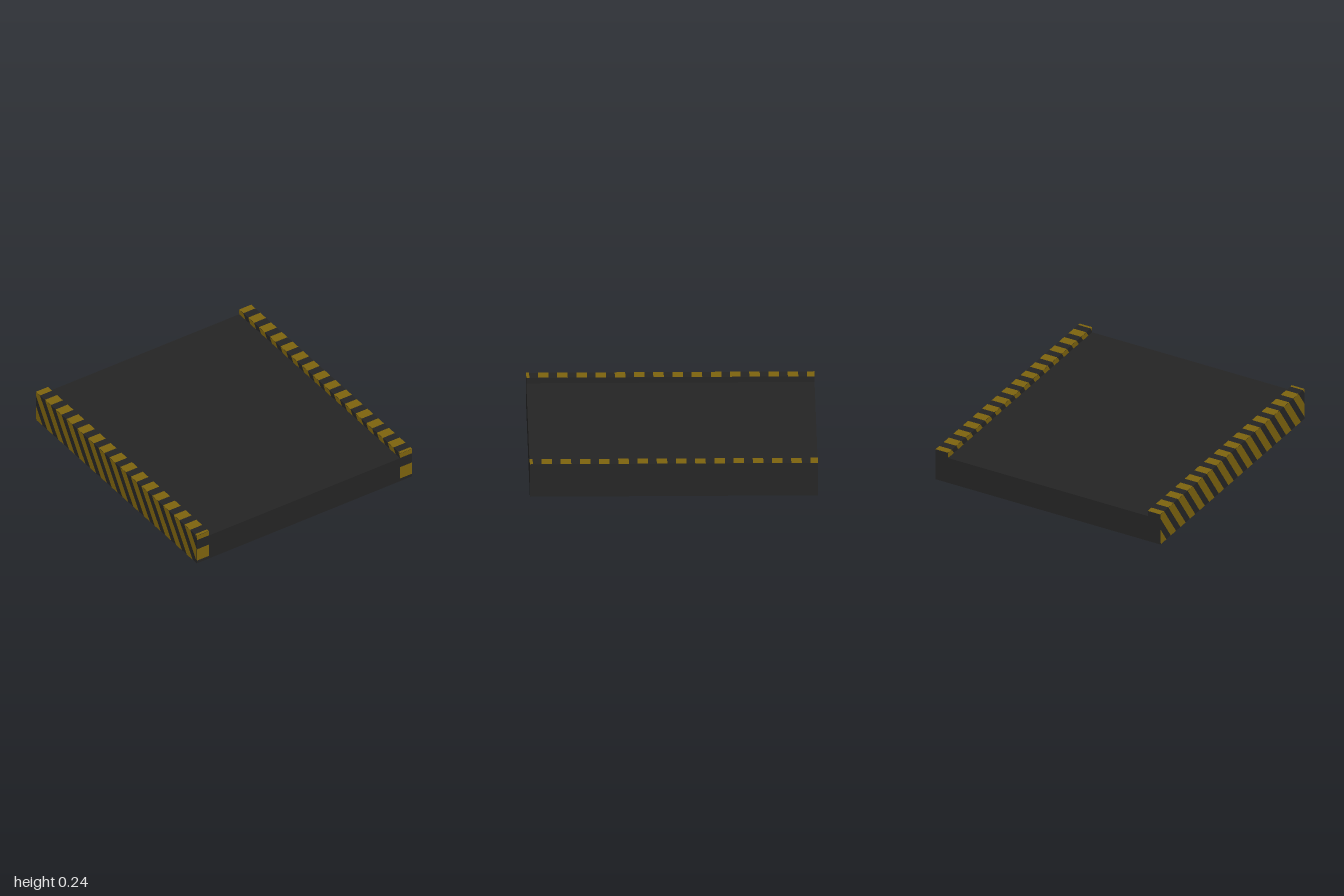
import * as THREE from 'three';

const W = 0.9, RAIL = 0.1, DECK_H = 0.2, RAIL_H = 0.24, HALF = 1;
const PITCH = 2 / 15, START = -1.021, STRIPE = 0.073, SLANT = 0.69, GAP = 0.001;

// Cuts a convex outline of [z, y] points to the side of z = limit chosen by sign
function clip(points, limit, sign) {
  const out = [];
  points.forEach((a, i) => {
    const b = points[(i + 1) % points.length];
    const da = (limit - a[0]) * sign, db = (limit - b[0]) * sign;
    if (da >= 0) out.push(a);
    if (da * db < 0) {
      const t = da / (da - db);
      out.push([limit, a[1] + (b[1] - a[1]) * t]);
    }
  });
  return out;
}

// Slanted stripes between two heights on a face that looks towards -x
function slantedStripes(y0, y1) {
  const shapes = [];
  for (let k = -2; k <= 15; k++) {
    const z = START + k * PITCH;
    const low = z + (RAIL_H - y0) * SLANT, high = z + (RAIL_H - y1) * SLANT;
    let p = [[low, y0], [low + STRIPE, y0], [high + STRIPE, y1], [high, y1]];
    p = clip(clip(p, HALF, 1), -HALF, -1);
    if (p.length > 2) shapes.push(new THREE.Shape(p.map(([u, v]) => new THREE.Vector2(u, v))));
  }
  return new THREE.ShapeGeometry(shapes).rotateY(-Math.PI / 2);
}

export function createModel() {
  const model = new THREE.Group();
  model.name = 'platform';
  const dark = new THREE.MeshStandardMaterial({ name: 'charcoal', color: 0x242424 });
  const yellow = new THREE.MeshStandardMaterial({ name: 'warning yellow', color: 0x7c620d });

  const add = (parent, name, geometry, material, x = 0, y = 0, z = 0) => {
    const mesh = new THREE.Mesh(geometry, material);
    mesh.name = name;
    mesh.position.set(x, y, z);
    parent.add(mesh);
  };

  // Flat deck between the rails
  add(model, 'deck', new THREE.BoxGeometry(2 * (W - RAIL), DECK_H, 2 * HALF), dark, 0, DECK_H / 2, 0);

  for (const side of [-1, 1]) {
    const rail = new THREE.Group();
    rail.name = side > 0 ? 'leftRail' : 'rightRail';
    model.add(rail);
    const x = side * (W - RAIL / 2);
    add(rail, 'railBody', new THREE.BoxGeometry(RAIL, RAIL_H, 2 * HALF), dark, x, RAIL_H / 2, 0);

    // Stripes across the top
    for (let k = 0; k <= 15; k++) {
      const a = Math.max(-HALF, START + k * PITCH);
      const b = Math.min(HALF, START + k * PITCH + STRIPE);
      add(rail, 'topStripe', new THREE.PlaneGeometry(RAIL, b - a).rotateX(-Math.PI / 2),
        yellow, x, RAIL_H + GAP, (a + b) / 2);
    }

    // Stripes on the front end
    for (const [y0, y1] of [[0.024, 0.122], [0.202, RAIL_H]]) {
      add(rail, 'endStripe', new THREE.PlaneGeometry(RAIL, y1 - y0), yellow, x, (y0 + y1) / 2, HALF + GAP);
    }

    // Slanted stripes: outer face of the right rail, exposed inner face of the left rail
    add(rail, 'sideStripes', slantedStripes(side < 0 ? 0 : DECK_H, RAIL_H), yellow, x - RAIL / 2 - GAP);
  }
  return model;
}
